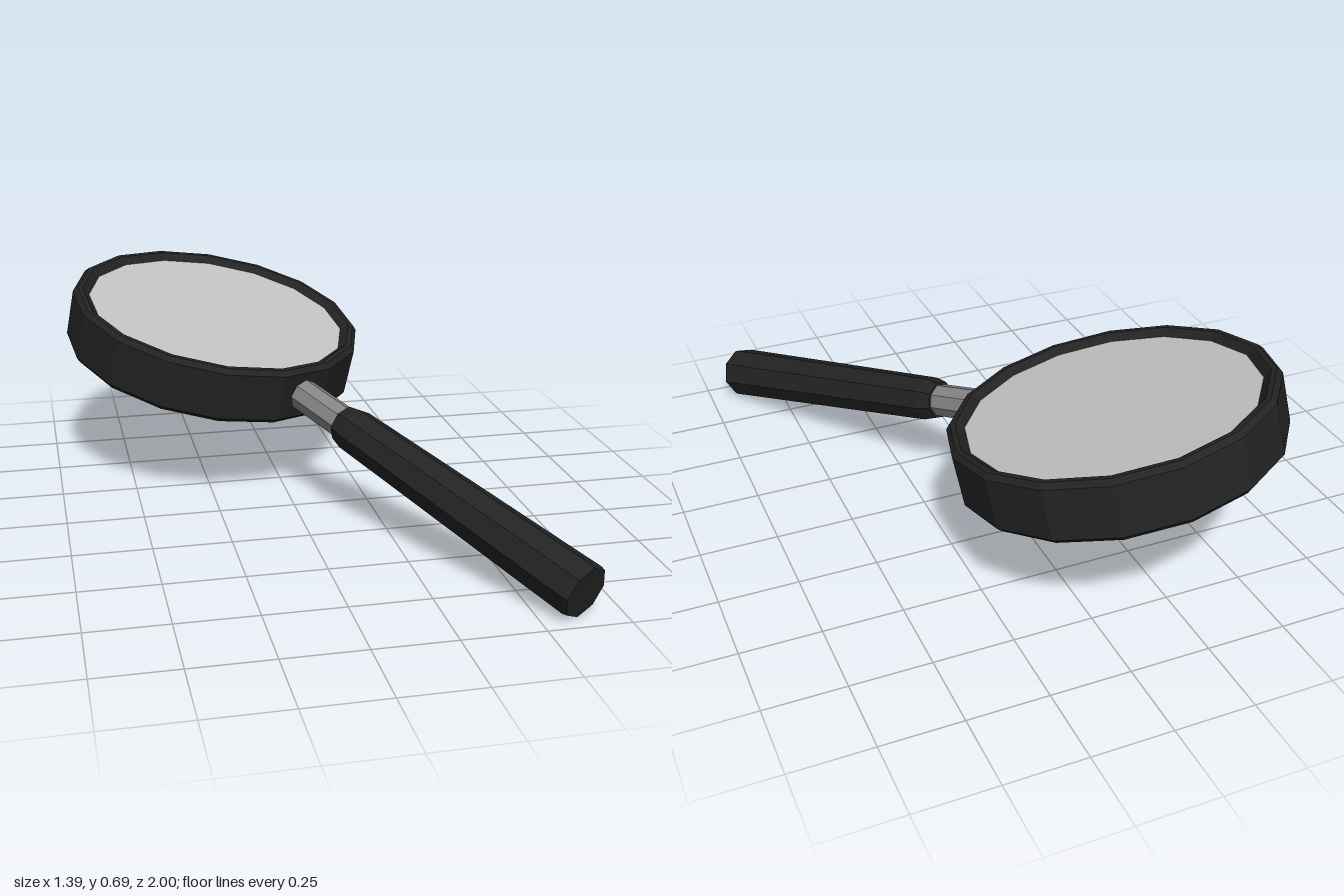
import * as THREE from 'three';

export function createModel() {
  const model = new THREE.Group();
  model.name = 'magnifyingGlass';

  const mat = (name, color) => {
    const m = new THREE.MeshStandardMaterial({ color });
    m.name = name;
    m.flatShading = true;
    return m;
  };
  const black = mat('blackPlastic', 0x232323);
  const metal = mat('greyMetal', 0x858585);
  const glass = mat('paleGlass', 0xc4c4c4);

  // Tilted frame: z runs along the handle, y is the lens axis
  const tool = new THREE.Group();
  tool.name = 'tiltedGlass';
  const along = new THREE.Vector3(0.478, -0.232, 0.848).normalize();
  const up = new THREE.Vector3(0.168, 0.97, 0.172);
  up.addScaledVector(along, -up.dot(along)).normalize();
  const side = new THREE.Vector3().crossVectors(up, along);
  tool.quaternion.setFromRotationMatrix(new THREE.Matrix4().makeBasis(side, up, along));
  tool.position.set(-0.19, 0.485, -0.49);
  model.add(tool);

  const add = (name, geometry, material) => {
    const mesh = new THREE.Mesh(geometry, material);
    mesh.name = name;
    tool.add(mesh);
    return mesh;
  };
  const lathe = (points, sides, start = 0) =>
    new THREE.LatheGeometry(points.map(([r, y]) => new THREE.Vector2(r, y)), sides, start);

  // Sixteen-sided rim with bevelled edges, a flat side towards the handle
  const step = Math.PI / 16;
  add('rim', lathe([
    [0.445, -0.072], [0.472, -0.096], [0.488, -0.096], [0.503, -0.08],
    [0.503, 0.08], [0.488, 0.096], [0.472, 0.096], [0.445, 0.072], [0.445, -0.072],
  ], 16, step), black);

  // Glass disc
  add('lens', new THREE.CylinderGeometry(0.447, 0.447, 0.15, 16, 1, false, step), glass);

  // Metal neck between rim and handle
  const neck = add('neck', new THREE.CylinderGeometry(0.054, 0.054, 0.26, 8), metal);
  neck.rotation.x = Math.PI / 2;
  neck.position.z = 0.6;

  // Tapered handle with bevelled front end
  const handle = add('handle', lathe([
    [0, 0.7], [0.062, 0.7], [0.073, 0.745], [0.087, 1.69], [0.083, 1.705], [0, 1.705],
  ], 8), black);
  handle.rotation.x = Math.PI / 2;

  return model;
}
